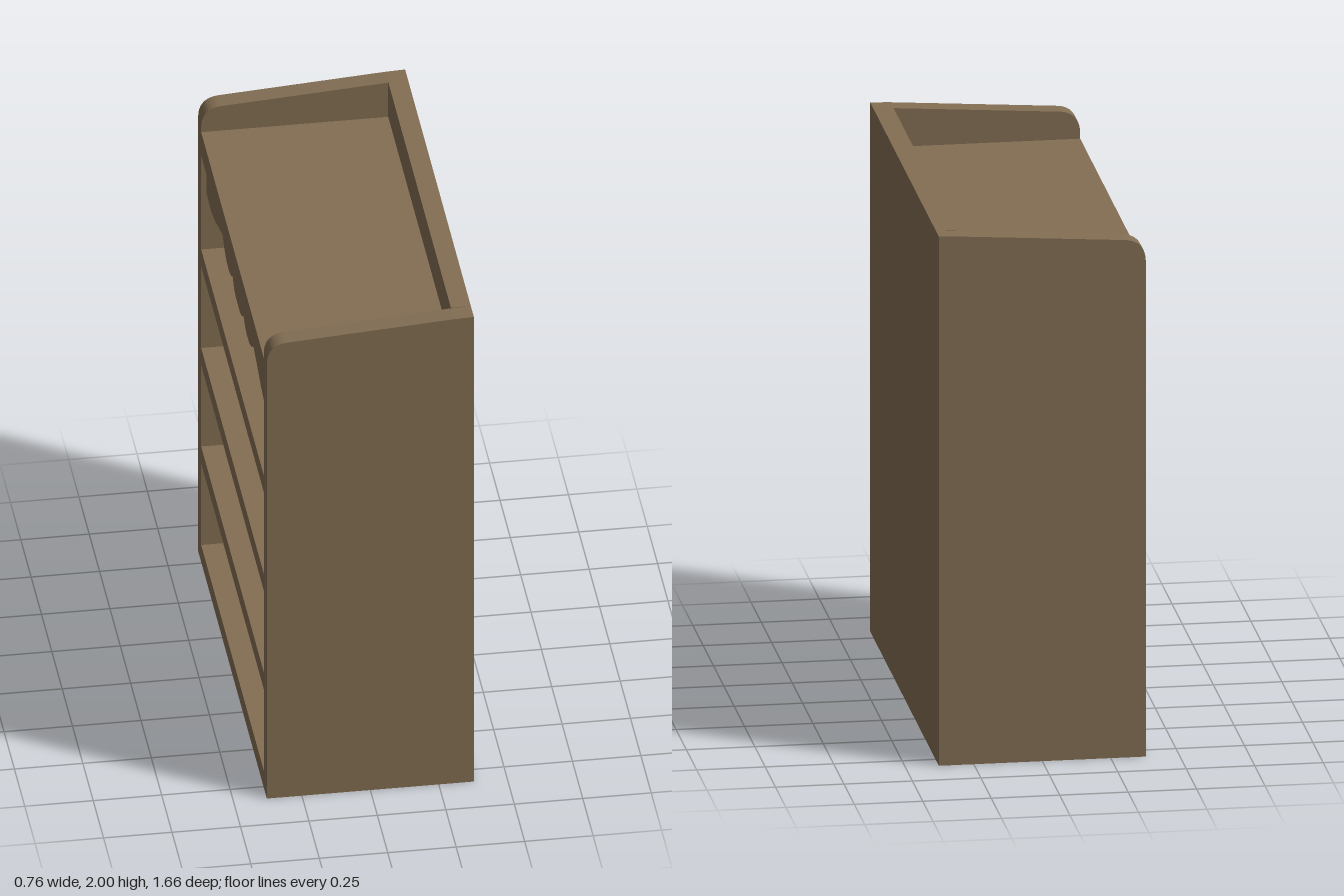
import * as THREE from 'three';

// Bookcase: the open side faces -x, the panel closing it is at +x.
const X = 0.378, Z = 0.83, T = 0.073; // half depth, half width, board thickness

export function createModel() {
  const group = new THREE.Group();
  const wood = new THREE.MeshStandardMaterial({ color: 0x836e53 });
  wood.name = 'brown wood';

  const add = (name, geometry, x, y, z) => {
    const mesh = new THREE.Mesh(geometry, wood);
    mesh.name = name;
    mesh.position.set(x, y, z);
    group.add(mesh);
    return mesh;
  };

  // Side panels: sloping top with a rounded corner at the open side
  const side = new THREE.Shape();
  side.moveTo(-X, 0);
  side.lineTo(X, 0);
  side.lineTo(X, 2);
  side.lineTo(X - T, 1.997);
  side.lineTo(-0.31, 1.955);
  side.bezierCurveTo(-0.35, 1.95, -X, 1.925, -X, 1.87);
  side.closePath();
  const sideGeometry = new THREE.ExtrudeGeometry(side, { depth: T, bevelEnabled: false, curveSegments: 10 });
  add('leftSidePanel', sideGeometry, 0, 0, Z - T);
  add('rightSidePanel', sideGeometry, 0, 0, -Z);

  // Closing panel
  const inner = 2 * (Z - T);
  add('backPanel', new THREE.BoxGeometry(T, 2, inner), X - T / 2, 1, 0);

  // Base and shelves, evenly spaced, then the thicker top deck
  const depth = 2 * X - T;
  for (let i = 0; i < 4; i++) {
    add(i ? 'shelf' + i : 'base', new THREE.BoxGeometry(depth, T, inner), -T / 2, i * 0.424 + T / 2, 0);
  }
  add('topDeck', new THREE.BoxGeometry(depth, 0.1, inner), -T / 2, 1.8, 0);

  // Scalloped valance under the deck, slightly recessed; half outline mirrored
  const half = [
    [0.05, 0.16], [0.09, 0.15], [0.13, 0.12], [0.165, 0.14], [0.21, 0.152], [0.28, 0.148],
    [0.33, 0.128], [0.37, 0.098], [0.46, 0.122], [0.55, 0.153], [0.65, 0.173], [Z - T, 0.165],
  ];
  const valance = new THREE.Shape();
  valance.moveTo(-(Z - T), 0);
  [...half].reverse().forEach(([z, d]) => valance.lineTo(-z, -d));
  half.forEach(([z, d]) => valance.lineTo(z, -d));
  valance.lineTo(Z - T, 0);
  valance.closePath();
  const valanceGeometry = new THREE.ExtrudeGeometry(valance, { depth: 0.035, bevelEnabled: false });
  add('valance', valanceGeometry, -X + 0.02, 1.75, 0).rotation.y = Math.PI / 2;

  return group;
}
